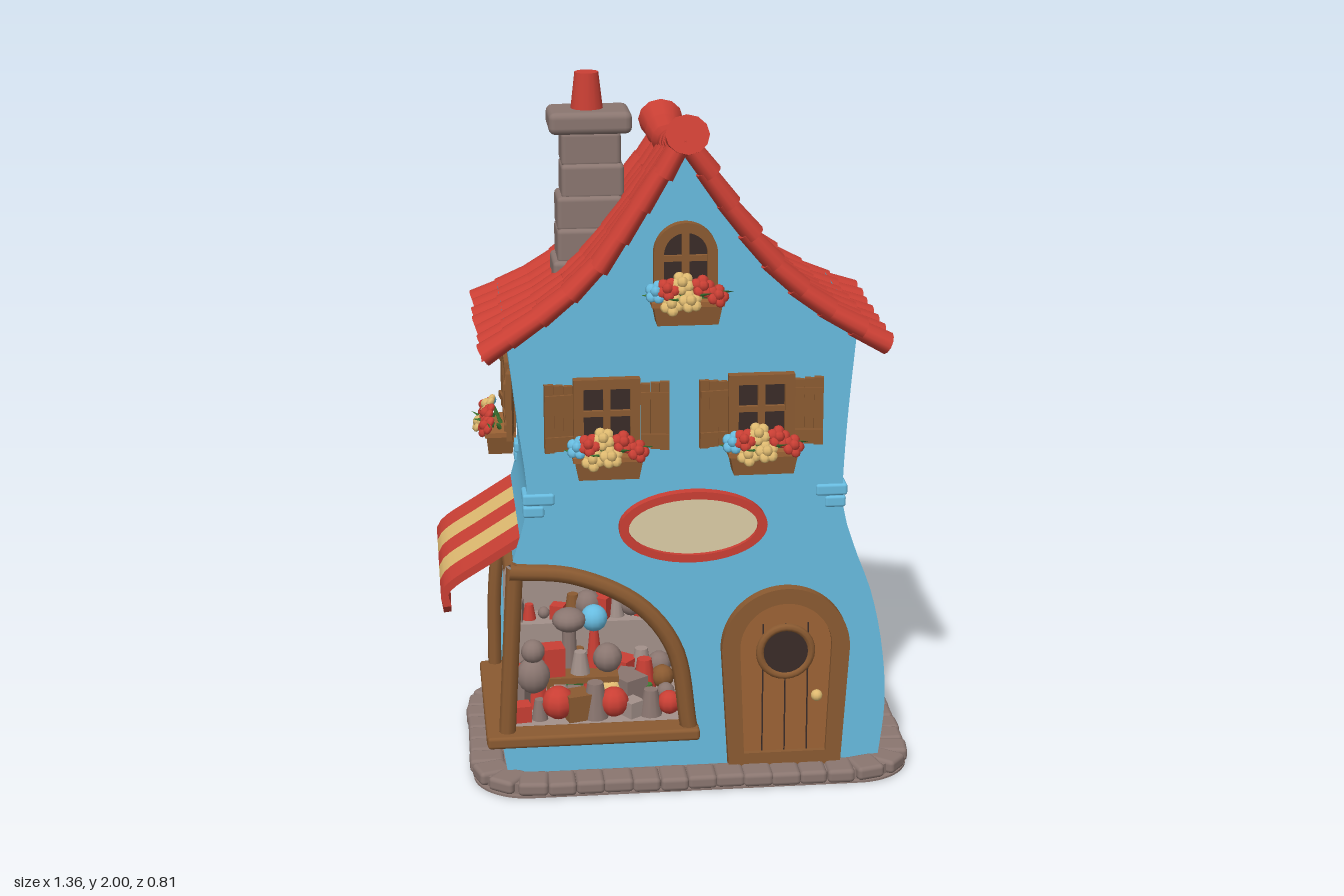
import * as THREE from 'three';
import { mergeGeometries } from 'three/addons/utils/BufferGeometryUtils.js';
import { RoundedBoxGeometry } from 'three/addons/geometries/RoundedBoxGeometry.js';

const V = (x, y, z) => new THREE.Vector3(x, y, z);
const mat = (name, color, side = THREE.FrontSide) => {
  const m = new THREE.MeshStandardMaterial({ color, side });
  m.name = name;
  return m;
};
const M = {
  blue: mat('wallBlue', 0x68bce0, THREE.DoubleSide), red: mat('roofRed', 0xca3f34, THREE.DoubleSide),
  wood: mat('wood', 0x8a5a31), door: mat('doorWood', 0x9c6335), stone: mat('stone', 0x8a7670),
  dark: mat('darkBrown', 0x3a2c28), cream: mat('cream', 0xdccda6), tan: mat('tan', 0xdfba70),
  green: mat('leafGreen', 0x3f7a34), inner: mat('shopPlaster', 0xa3918a, THREE.DoubleSide),
};

let seed = 7;
const rnd = () => (seed = (seed * 16807) % 2147483647) / 2147483647;

function add(parent, name, geo, material, x = 0, y = 0, z = 0) {
  const m = new THREE.Mesh(geo, material);
  m.name = name;
  m.position.set(x, y, z);
  parent.add(m);
  return m;
}
// smooth lookup through [key, value] points with rising keys
function lookup(pts) {
  const c = new THREE.SplineCurve(pts.map(p => new THREE.Vector2(...p))).getPoints(80);
  return k => {
    if (k <= c[0].x) return c[0].y;
    for (let i = 1; i < c.length; i++) if (k <= c[i].x)
      return c[i - 1].y + (c[i].y - c[i - 1].y) * (k - c[i - 1].x) / (c[i].x - c[i - 1].x);
    return c[c.length - 1].y;
  };
}
// surface between two rows of points
function strip(a, b) {
  const pos = [], idx = [];
  a.forEach((p, i) => {
    pos.push(...p.toArray(), ...b[i].toArray());
    const k = i * 2;
    if (i < a.length - 1) idx.push(k, k + 1, k + 3, k, k + 3, k + 2);
  });
  const g = new THREE.BufferGeometry();
  g.setAttribute('position', new THREE.Float32BufferAttribute(pos, 3));
  g.setIndex(idx);
  g.computeVertexNormals();
  return g;
}
// tapered round bar from p to q, optionally flattened
function bar(p, q, r0, r1, flat = 1, sides = 12) {
  const d = q.clone().sub(p);
  return new THREE.CylinderGeometry(r1, r0, d.length(), sides).scale(flat, 1, 1)
    .applyQuaternion(new THREE.Quaternion().setFromUnitVectors(V(0, 1, 0), d.clone().normalize()))
    .translate(...p.clone().add(q).multiplyScalar(0.5).toArray());
}
const tube = (pts, r) => new THREE.TubeGeometry(new THREE.CatmullRomCurve3(pts.map(p => V(...p))), 24, r, 8);
const extrude = (shape, depth) => new THREE.ExtrudeGeometry(shape, { depth, bevelEnabled: false, curveSegments: 20 });
function opening(w, h, arched, S = THREE.Shape) {
  const s = new S(), r = arched ? w / 2 : 0;
  s.moveTo(-w / 2, -h / 2).lineTo(w / 2, -h / 2).lineTo(w / 2, h / 2 - r);
  if (arched) s.absarc(0, h / 2 - r, r, 0, Math.PI);
  else s.lineTo(-w / 2, h / 2);
  return s.closePath();
}

// house outline
const xRight = lookup([[0, 0.57], [0.2, 0.592], [0.38, 0.58], [0.55, 0.545], [0.7, 0.49], [0.83, 0.457], [1.05, 0.463], [1.34, 0.487]]);
const xLeft = lookup([[0, -0.5], [0.2, -0.525], [0.45, -0.515], [0.66, -0.485], [0.8, -0.447], [0.9, -0.437], [1.1, -0.46], [1.34, -0.487]]);
const zBack = lookup([[0, -0.325], [0.3, -0.342], [0.5, -0.325], [0.8, -0.265], [0.95, -0.262], [1.3, -0.285]]);
const roofY = lookup([[0, 1.9], [0.13, 1.695], [0.25, 1.53], [0.39, 1.405], [0.56, 1.293]]);
const sag = lookup([[-0.375, -0.09], [-0.18, -0.115], [0, -0.085], [0.2, -0.045], [0.33, 0]]);
const roofAt = (x, z, s = 1) => V(s * x, roofY(x) + sag(z) * (1 - x / 0.56), z);
const Z = 0.28;
const archPts = [[-0.49, 0.66], [-0.31, 0.64], [-0.13, 0.55], [-0.025, 0.41], [0.018, 0.16]];

function walls(g) {
  const ys = Array.from({ length: 27 }, (_, i) => 0.01 + 0.05 * i);
  const xs = Array.from({ length: 13 }, (_, i) => 0.48 * (1 - i / 12));
  const curve = new THREE.SplineCurve(archPts.map(p => new THREE.Vector2(...p))).getPoints(20);
  const P = (x, y) => new THREE.Vector2(x, y), gable = (x, s) => { const p = roofAt(x, Z, s); return P(p.x, p.y); };
  const front = [
    ...ys.map(y => P(xRight(y), y)), ...xs.map(x => gable(x, 1)), ...xs.slice(0, -1).reverse().map(x => gable(x, -1)),
    ...ys.slice(14).reverse().map(y => P(xLeft(y), y)), ...curve, ...ys.slice(0, 4).reverse().map(y => P(xLeft(y), y)),
  ];
  add(g, 'frontWall', new THREE.ShapeGeometry(new THREE.Shape(front)), M.blue, 0, 0, Z);
  const back = (f, s) => [...ys.map(y => V(f(y), y, zBack(y))), ...xs.map(x => roofAt(x, -0.285, s))];
  add(g, 'backWall', strip(back(xRight, 1), back(xLeft, -1)), M.blue);
  const side = (f, z, list) => list.map(y => V(f(y), y, z ?? zBack(y)));
  const top = [...ys, 1.36];
  add(g, 'rightSideWall', strip(side(xRight, Z, top), side(xRight, null, top)), M.blue);
  [[top.slice(0, 4), Z], [top.slice(3, 14), -0.22], [top.slice(13), Z]].forEach(([list, z]) =>
    add(g, 'leftSideWall', strip(side(xLeft, null, list), side(xLeft, z, list)), M.blue));
  // bricks showing at the corners
  [[xLeft, 1, Z], [xRight, -1, Z], [xLeft, 1, -0.262], [xRight, -1, -0.262]].forEach(([f, s, z]) =>
    [[0.032, 0.868, 0.09], [0.022, 0.832, 0.06]].forEach(([dx, y, w]) =>
      add(g, 'cornerBrick', new RoundedBoxGeometry(w, 0.034, w * 0.9, 2, 0.008), M.blue, f(y) + s * dx, y, z - Math.sign(z) * w * 0.36)));
}

function roof(g) {
  const N = 8, rows = 7;
  // points evenly spaced down the slope
  const slope = new THREE.SplineCurve(Array.from({ length: 15 }, (_, i) => new THREE.Vector2(0.56 * i / 14, roofY(0.56 * i / 14))));
  [1, -1].forEach(s => {
    const tiles = [];
    for (let r = 0; r < rows; r++) for (let i = 0; i < N; i++) {
      const z = -0.292 + r * 0.0965;
      const up = slope.getPointAt(i / N).x, low = Math.min(slope.getPointAt(Math.min((i + 1.15) / N, 1)).x, 0.56);
      const wob = (rnd() - 0.5) * 0.012;
      const a = roofAt(low, z, s), b = roofAt(up, z, s);
      a.x += (s > 0 ? 0.012 : 0.008) + wob;
      a.y += 0.002;
      tiles.push(bar(a, b, 0.053, 0.045, 0.6));
    }
    add(g, 'roofTiles', mergeGeometries(tiles), M.red);
    const edge = z => Array.from({ length: 13 }, (_, i) => roofAt(0.555 * i / 12, z, s).add(V(0, -0.012, 0)));
    add(g, 'roofDeck', s > 0 ? strip(edge(-0.33), edge(0.32)) : strip(edge(0.32), edge(-0.33)), M.red);
  });
  const radius = lookup([[-0.375, 0.058], [-0.2, 0.043], [0, 0.039], [0.2, 0.045], [0.33, 0.053]]);
  const caps = [];
  for (let i = 0; i < 7; i++) {
    const z0 = 0.325 - i * 0.1, z1 = z0 - 0.1;
    const grow = i < 4 ? [0.002, -0.002] : [-0.002, 0.002];
    caps.push(bar(V(0.007, 1.902 + sag(z0), z0), V(0.007, 1.902 + sag(z1), z1), radius(z0) + grow[0], radius(z1) + grow[1], 1.1));
  }
  add(g, 'ridgeTiles', mergeGeometries(caps), M.red);
}

function chimney(g) {
  for (let i = 0; i < 5; i++) {
    const w = 0.205 - i * 0.009;
    add(g, 'chimneyCourse', new RoundedBoxGeometry(w, 0.1, 0.165 - i * 0.008, 2, 0.014), M.stone,
      -0.235 + (i % 2) * 0.006 + i * 0.003, 1.43 + i * 0.09, -0.075 - i * 0.008);
  }
  add(g, 'chimneyCap', new RoundedBoxGeometry(0.235, 0.064, 0.17, 2, 0.02), M.stone, -0.225, 1.866, -0.107);
  add(g, 'chimneyPot', new THREE.CylinderGeometry(0.034, 0.047, 0.11, 14), M.red, -0.23, 1.945, -0.107);
}

function flowerBox(w) {
  const g = new THREE.Group(), geo = new THREE.BoxGeometry(w, 0.06, 0.08), p = geo.attributes.position;
  g.name = 'flowerBox';
  for (let i = 0; i < p.count; i++) if (p.getY(i) < 0) p.setXYZ(i, p.getX(i) * 0.88, p.getY(i), p.getZ(i) * 0.85);
  geo.computeVertexNormals();
  add(g, 'planter', geo, M.wood, 0, -0.138, 0.045);
  add(g, 'planterRim', new THREE.BoxGeometry(w + 0.008, 0.014, 0.088), M.door, 0, -0.108, 0.045);
  // blossoms: x, y, z, colour
  [[-0.085, -0.075, 0.07, M.blue], [-0.055, -0.065, 0.08, M.red], [-0.015, -0.05, 0.075, M.tan], [0.005, -0.095, 0.1, M.tan],
    [0.04, -0.06, 0.08, M.red], [0.08, -0.085, 0.085, M.red], [-0.045, -0.105, 0.092, M.tan]].forEach(([x, y, z, c], i) => {
    const petals = Array.from({ length: 5 }, (_, k) => new THREE.SphereGeometry(0.0165, 7, 5).scale(1, 1, 0.65)
      .translate(0.018 * Math.cos(k * 1.257 + i), 0.018 * Math.sin(k * 1.257 + i), 0));
    petals.push(new THREE.SphereGeometry(0.016, 7, 5).translate(0, 0, 0.006));
    add(g, 'blossom', mergeGeometries(petals), c, x, y, z).rotation.set(-0.6, x * 4, 0);
  });
  for (let i = 0; i < 8; i++) {
    const x = (i - 3.5) * 0.027;
    const leaf = add(g, 'leaf', new THREE.ConeGeometry(0.018, 0.06, 5).scale(1, 1, 0.4), M.green, x, -0.09 + (i % 2) * 0.012, 0.05 + (i % 3) * 0.025);
    leaf.rotation.set(0.4 + i % 3 * 0.4, 0, -(i - 3.5) * 0.42);
  }
  return g;
}

function windowUnit(g, name, x, y, z, arched, turn = 0) {
  const u = new THREE.Group(), w = arched ? 0.175 : 0.185, h = 0.21;
  u.name = name;
  u.position.set(x, y, z);
  u.rotation.y = turn;
  const frame = opening(w, h, arched);
  frame.holes.push(opening(w - 0.055, h - 0.055, arched, THREE.Path));
  add(u, 'windowFrame', extrude(frame, 0.03), M.wood);
  add(u, 'windowPane', extrude(opening(w - 0.02, h - 0.02, arched), 0.008), M.dark, 0, 0, 0.002);
  add(u, 'verticalBar', new THREE.BoxGeometry(0.02, h - 0.02, 0.016), M.wood, 0, 0, 0.015);
  add(u, 'crossBar', new THREE.BoxGeometry(w - 0.02, 0.016, 0.016), M.wood, 0, 0.005, 0.015);
  if (!arched) [1, -1].forEach(s => {
    const sh = new THREE.Group();
    sh.name = 'shutter';
    sh.position.set(s * 0.134, -0.005, 0.018);
    sh.rotation.y = -s * 0.12;
    for (let i = -1; i <= 1; i++) add(sh, 'board', new THREE.BoxGeometry(0.026, 0.19 + 0.006 * i * s, 0.016), M.wood, i * 0.0265);
    [0.06, -0.06].forEach(by => add(sh, 'batten', new THREE.BoxGeometry(0.078, 0.018, 0.008), M.wood, 0, by, 0.011));
    u.add(sh);
  });
  u.add(flowerBox(0.19));
  g.add(u);
}

function door(g) {
  const d = new THREE.Group();
  d.name = 'door';
  d.position.set(0.295, 0.31, Z);
  const taper = geo => {
    const p = geo.attributes.position;
    for (let i = 0; i < p.count; i++) p.setX(i, p.getX(i) * (1 - 0.12 * Math.max(0, -p.getY(i) / 0.275)));
    geo.computeVertexNormals();
    return geo;
  };
  const frame = opening(0.37, 0.55, true);
  frame.holes.push(opening(0.265, 0.46, true, THREE.Path));
  add(d, 'doorFrame', taper(extrude(frame, 0.035)), M.wood);
  add(d, 'doorLeaf', taper(extrude(opening(0.3, 0.53, true), 0.02)), M.door);
  [-0.065, 0, 0.065].forEach(x => add(d, 'plankGap', new THREE.BoxGeometry(0.004, 0.4, 0.006), M.dark, x, -0.035, 0.019));
  add(d, 'doorWindow', new THREE.CylinderGeometry(0.07, 0.07, 0.008, 28).rotateX(Math.PI / 2), M.dark, 0, 0.08, 0.025);
  add(d, 'doorWindowRing', new THREE.TorusGeometry(0.074, 0.012, 8, 28), M.wood, 0, 0.08, 0.024);
  add(d, 'doorKnob', new THREE.SphereGeometry(0.017, 12, 8), M.tan, 0.09, -0.055, 0.038);
  g.add(d);
}

function sign(g) {
  const ellipse = (a, b, S) => new S().absellipse(0, 0, a, b, 0, Math.PI * 2);
  const rim = ellipse(0.21, 0.105, THREE.Shape);
  rim.holes.push(ellipse(0.183, 0.083, THREE.Path));
  add(g, 'signRim', extrude(rim, 0.03), M.red, 0.028, 0.78, Z);
  add(g, 'signBoard', extrude(ellipse(0.19, 0.09, THREE.Shape), 0.015), M.cream, 0.028, 0.78, Z);
}

function shop(g) {
  // room
  const box = (n, w, h, d, m, x, y, z) => add(g, n, new THREE.BoxGeometry(w, h, d), m, x, y, z);
  box('shopBackWall', 0.53, 0.54, 0.01, M.inner, -0.225, 0.41, -0.22);
  box('shopEndWall', 0.01, 0.54, 0.49, M.inner, 0.035, 0.41, 0.03);
  box('shopFloor', 0.54, 0.012, 0.49, M.inner, -0.235, 0.154, 0.03);
  box('shopCeiling', 0.5, 0.01, 0.49, M.inner, -0.22, 0.67, 0.03);
  [0.33, 0.5].forEach(y => box('shelf', 0.48, 0.016, 0.11, M.inner, -0.22, y, -0.16));
  box('displayTable', 0.22, 0.018, 0.14, M.wood, -0.28, 0.25, 0.06);
  [-0.37, -0.19].forEach(x => box('tableLeg', 0.02, 0.09, 0.1, M.wood, x, 0.2, 0.06));
  // goods on floor, table and shelves
  const colors = [M.stone, M.red, M.stone, M.red, M.wood, M.stone, M.red, M.inner, M.stone, M.red, M.tan, M.stone, M.green];
  const item = (x, y, z, s, i) => {
    const h = s * (0.9 + rnd() * 0.6);
    const geo = [new THREE.BoxGeometry(s, h, s), new THREE.CylinderGeometry(s * 0.3, s * 0.5, h, 10), new THREE.SphereGeometry(h / 2, 10, 8)][i % 3];
    add(g, 'toy', geo, colors[i % colors.length], x, y + h / 2, z).rotation.y = rnd() * 3;
  };
  for (let i = 0; i < 22; i++) item(-0.46 + (i % 11) * 0.044, i < 11 ? 0.338 : 0.508, -0.15, 0.04 + rnd() * 0.02, i);
  for (let i = 0; i < 36; i++) item(-0.46 + (i % 9) * 0.054, 0.16, -0.1 + Math.floor(i / 9) * 0.095, 0.045 + rnd() * 0.035, i);
  for (let i = 0; i < 6; i++) item(-0.36 + (i % 3) * 0.08, 0.26, 0.03 + Math.floor(i / 3) * 0.06, 0.045 + rnd() * 0.02, i + 3);
  // larger display pieces
  add(g, 'toyMushroomStem', new THREE.CylinderGeometry(0.02, 0.025, 0.12, 10), M.stone, -0.31, 0.33, 0.06);
  add(g, 'toyMushroomCap', new THREE.SphereGeometry(0.05, 14, 10).scale(1, 0.7, 1), M.stone, -0.31, 0.415, 0.06);
  add(g, 'toyBall', new THREE.SphereGeometry(0.04, 14, 10), M.blue, -0.235, 0.41, 0.04);
  add(g, 'toyBallStand', new THREE.CylinderGeometry(0.012, 0.025, 0.13, 10), M.red, -0.235, 0.32, 0.04);
  add(g, 'toyFigureBody', new THREE.SphereGeometry(0.05, 12, 10).scale(1, 1.1, 0.9), M.stone, -0.42, 0.27, 0.12);
  add(g, 'toyFigureHead', new THREE.SphereGeometry(0.035, 12, 10), M.stone, -0.42, 0.345, 0.12);
  // timber surround
  add(g, 'archBeam', tube(archPts.map(([x, y]) => [x, y, 0.29]), 0.025), M.wood);
  add(g, 'cornerPost', tube([[-0.475, 0.67, 0.28], [-0.49, 0.42, 0.28], [-0.505, 0.16, 0.28]], 0.024), M.wood);
  add(g, 'backPost', tube([[-0.487, 0.67, -0.23], [-0.515, 0.42, -0.23], [-0.52, 0.16, -0.23]], 0.02), M.wood);
  add(g, 'sideBeam', tube([[-0.485, 0.665, -0.25], [-0.485, 0.67, 0], [-0.485, 0.665, 0.3]], 0.022), M.wood);
  add(g, 'frontSill', new RoundedBoxGeometry(0.61, 0.036, 0.085, 2, 0.01), M.wood, -0.258, 0.15, 0.285);
  add(g, 'sideSill', new RoundedBoxGeometry(0.08, 0.036, 0.56, 2, 0.01), M.wood, -0.525, 0.15, 0.03);
}

function awning(g) {
  const path = new THREE.CatmullRomCurve3([V(-0.44, 0.755, 0), V(-0.555, 0.683, 0), V(-0.655, 0.618, 0), V(-0.672, 0.595, 0), V(-0.665, 0.525, 0)]);
  for (let s = 0; s < 5; s++) {
    const geo = new THREE.BoxGeometry(0.11, 0.022, 1, 8, 1, 16), p = geo.attributes.position;
    for (let i = 0; i < p.count; i++) {
      const u = p.getZ(i) + 0.5, c = path.getPointAt(u), t = path.getTangentAt(u), k = p.getY(i);
      const scallop = Math.max(0, (u - 0.8) / 0.2) * (0.03 - 0.035 * Math.cos(p.getX(i) / 0.11 * Math.PI));
      p.setXYZ(i, c.x + t.y * k, c.y - t.x * k + scallop, p.getX(i) - 0.225 + s * 0.11);
    }
    geo.computeVertexNormals();
    add(g, 'awningStripe', geo, s % 2 ? M.tan : M.red);
  }
}

function base(g) {
  const rounded = (w, d, r) => {
    const s = new THREE.Shape(), x = w / 2 - r, y = d / 2 - r;
    s.absarc(x, y, r, 0, Math.PI / 2).absarc(-x, y, r, Math.PI / 2, Math.PI);
    return s.absarc(-x, -y, r, Math.PI, Math.PI * 1.5).absarc(x, -y, r, Math.PI * 1.5, Math.PI * 2).closePath();
  };
  const plate = (n, w, d, r, h, y) => add(g, n, extrude(rounded(w, d, r), h).rotateX(-Math.PI / 2), M.stone, 0.033, y, -0.01);
  plate('underside', 1.27, 0.775, 0.16, 0.006, 0);
  plate('footing', 1.24, 0.745, 0.15, 0.03, 0.006);
  // ring of cobbles
  const N = 44, pts = rounded(1.19, 0.695, 0.13).getSpacedPoints(N);
  for (let i = 0; i < N; i++) {
    const a = pts[i], b = pts[i + 1], len = a.distanceTo(b);
    const cobble = add(g, 'cobble', new RoundedBoxGeometry(len * (0.98 + rnd() * 0.1), 0.041, 0.09 + rnd() * 0.012, 2, 0.013), M.stone,
      0.033 + (a.x + b.x) / 2, 0.0235 + rnd() * 0.003, -0.01 - (a.y + b.y) / 2);
    cobble.rotation.y = Math.atan2(b.y - a.y, b.x - a.x);
  }
}

export function createModel() {
  const g = new THREE.Group();
  g.name = 'toyShopHouse';
  seed = 7;
  [base, walls, roof, chimney, shop, awning, door, sign].forEach(build => build(g));
  windowUnit(g, 'frontWindowLeft', 0.218, 1.115, Z, false);
  windowUnit(g, 'frontWindowRight', -0.213, 1.115, Z, false);
  windowUnit(g, 'atticWindow', 0.005, 1.55, Z, true);
  windowUnit(g, 'sideWindow', -0.455, 1.11, 0, false, -Math.PI / 2);
  return g;
}
